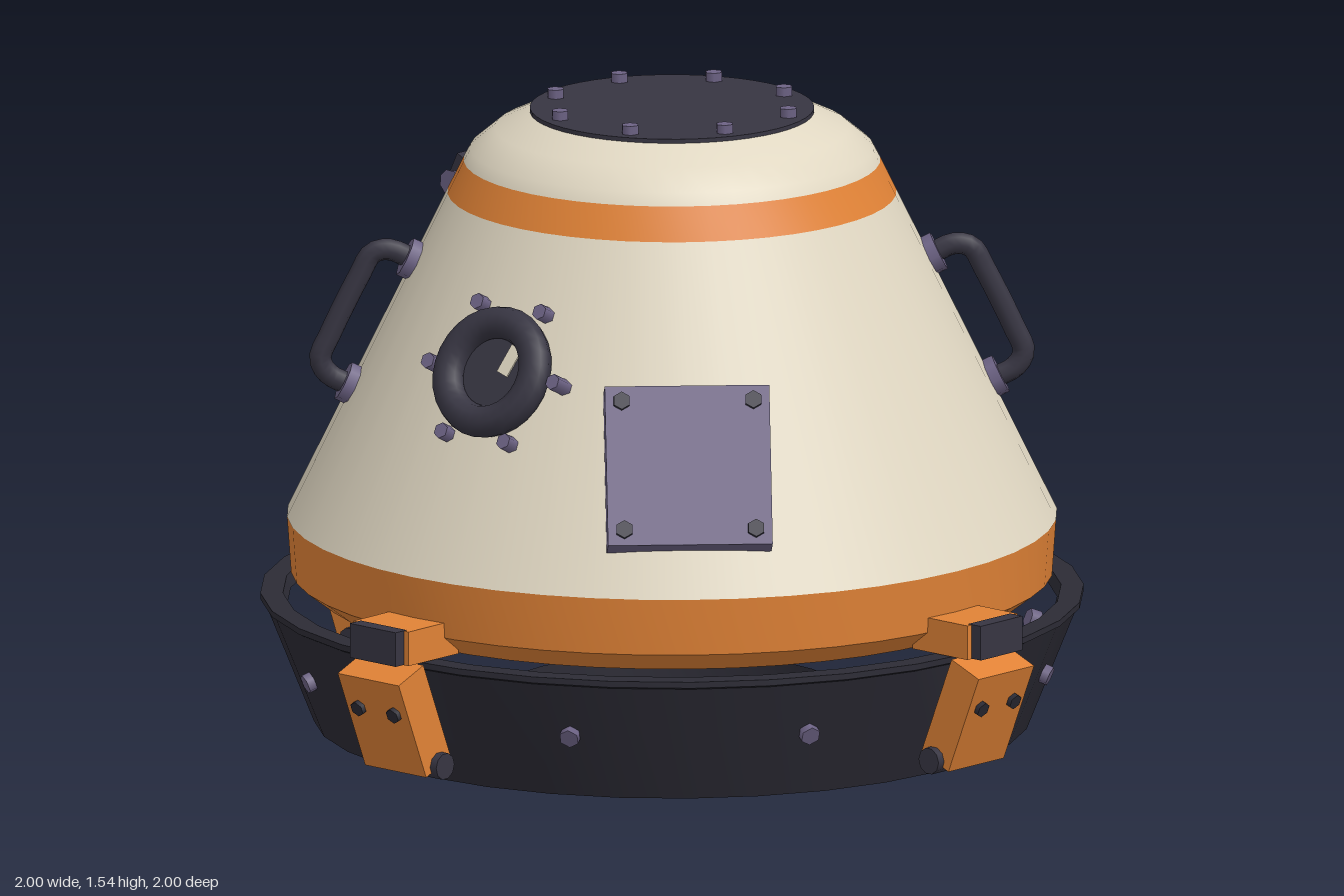
import * as THREE from 'three';
import { toCreasedNormals } from 'three/addons/utils/BufferGeometryUtils.js';

const mat = (name, color) => {
  const m = new THREE.MeshStandardMaterial({ color });
  m.name = name;
  return m;
};
const V2 = (x, y) => new THREE.Vector2(x, y);
const V3 = (x, y, z) => new THREE.Vector3(x, y, z);

// Hull cone: radius at a height, and its lean from vertical
const coneRadius = (y) => 0.935 - (y - 0.51) * 0.4875;
const LEAN = Math.atan(0.4875);

export function createModel() {
  const cream = mat('cream hull', 0xe0d7c2);
  const orange = mat('orange trim', 0xe08236);
  const dark = mat('dark metal', 0x373542);
  const black = mat('heat shield black', 0x2c2b35);
  const purple = mat('purple metal', 0x6d6385);

  const model = new THREE.Group();
  model.name = 'capsule';

  const add = (parent, name, geo, material, x = 0, y = 0, z = 0) => {
    const m = new THREE.Mesh(geo, material);
    m.name = name;
    m.position.set(x, y, z);
    parent.add(m);
    return m;
  };
  // Group standing on the body: local z points outward, local y runs up the wall
  const mount = (name, angle, r, y, lean) => {
    const g = new THREE.Group();
    g.name = name;
    g.position.set(r * Math.sin(angle), y, r * Math.cos(angle));
    g.rotation.order = 'YXZ';
    g.rotation.set(-lean, angle, 0);
    model.add(g);
    return g;
  };
  const lathe = (name, pts, material, segs) =>
    add(model, name, toCreasedNormals(new THREE.LatheGeometry(pts.map((p) => V2(...p)), segs), 0.5), material);
  const stud = (r, h, sides = 6) => new THREE.CylinderGeometry(r, r, h, sides).rotateX(Math.PI / 2);

  // Hull sections, bottom to top
  lathe('lowerBand', [[0.86, 0.32], [0.925, 0.37], [0.935, 0.51]], orange, 48);
  lathe('hullCone', [[0.935, 0.51], [0.545, 1.31]], cream, 48);
  lathe('upperBand', [[0.545, 1.31], [0.506, 1.39]], orange, 48);
  lathe('hullShoulder', [[0.506, 1.39], [0.49, 1.42], [0.43, 1.47], [0.34, 1.512]], cream, 48);

  // Top hatch with a ring of bolts
  add(model, 'topHatch', new THREE.CylinderGeometry(0.345, 0.345, 0.02, 48), dark, 0, 1.51, 0);
  for (let i = 0; i < 8; i++) {
    const a = ((i + 0.5) * Math.PI) / 4;
    add(model, 'hatchBolt', new THREE.CylinderGeometry(0.022, 0.022, 0.03, 6), purple,
      0.3 * Math.sin(a), 1.527, 0.3 * Math.cos(a));
  }

  // Heat shield ring with recessed underside and open rim
  lathe('heatShield', [[0, 0.06], [0.425, 0.06], [0.425, 0], [0.87, 0], [0.99, 0.3],
    [1.0, 0.305], [1.0, 0.32], [0.945, 0.32], [0.935, 0.29]], black, 32);
  for (let q = 0; q < 4; q++) {
    for (const d of [18, 72]) {
      const g = mount('shieldBolt', (q * Math.PI) / 2 + (d * Math.PI) / 180, 0.937, 0.165, -0.38);
      add(g, 'shieldBoltHead', stud(0.025, 0.03), purple);
    }
  }

  // Four clamps joining hull and shield
  for (let q = 0; q < 4; q++) {
    const a = Math.PI / 4 + (q * Math.PI) / 2;
    const arm = mount('clampArm', a, 1.002, 0.178, -0.384);
    add(arm, 'clampPlate', new THREE.BoxGeometry(0.2, 0.265, 0.096), orange);
    for (const s of [-1, 1]) add(arm, 'clampBolt', stud(0.02, 0.02), black, s * 0.058, 0.043, 0.05);
    const head = mount('clampHead', a, 0.96, 0.365, 0);
    add(head, 'clampBlock', new THREE.BoxGeometry(0.18, 0.085, 0.18), orange);
    add(head, 'clampLatch', new THREE.BoxGeometry(0.15, 0.085, 0.04), dark, 0, 0.001, 0.1);
    const hinge = mount('clampHinge', a, 0.95, 0.06, 0);
    add(hinge, 'hingePin', new THREE.CylinderGeometry(0.033, 0.033, 0.24, 10).rotateZ(Math.PI / 2), dark);
  }

  // Front access panel
  const panel = mount('accessPanel', 0, 0.8125, 0.808, LEAN);
  add(panel, 'panelPlate', new THREE.BoxGeometry(0.4, 0.396, 0.08), purple);
  for (const x of [-0.16, 0.16])
    for (const y of [-0.16, 0.16]) add(panel, 'panelBolt', stud(0.022, 0.02), dark, x, y, 0.044);

  // Round window with studs and a glint
  const port = mount('window', (-40 * Math.PI) / 180, coneRadius(0.985), 0.985, LEAN);
  add(port, 'windowFrame', new THREE.TorusGeometry(0.125, 0.04, 10, 28), dark, 0, 0, 0.02);
  add(port, 'windowGlass', new THREE.CylinderGeometry(0.12, 0.12, 0.02, 28).rotateX(Math.PI / 2), dark, 0, 0, 0.005);
  add(port, 'windowGlint', new THREE.BoxGeometry(0.035, 0.075, 0.004), cream, 0.04, 0.035, 0.017)
    .rotation.z = -0.3;
  for (let i = 0; i < 6; i++) {
    const a = (i * Math.PI) / 3;
    add(port, 'windowStud', stud(0.02, 0.06), purple, 0.19 * Math.cos(a), 0.19 * Math.sin(a), 0);
  }

  // Grab handles on the two sides and the back
  const grip = new THREE.CatmullRomCurve3([
    V3(0, 0.171, -0.02), V3(0, 0.171, 0.065), V3(0, 0.145, 0.1), V3(0, 0.08, 0.105),
    V3(0, -0.08, 0.105), V3(0, -0.145, 0.1), V3(0, -0.171, 0.065), V3(0, -0.171, -0.02)]);
  for (const a of [Math.PI / 2, Math.PI, -Math.PI / 2]) {
    const h = mount('handle', a, coneRadius(0.99), 0.99, LEAN);
    add(h, 'handleGrip', new THREE.TubeGeometry(grip, 32, 0.027, 8), dark);
    for (const s of [-1, 1]) add(h, 'handleFlange', stud(0.05, 0.04, 8), purple, 0, s * 0.171, 0.005);
  }

  // Rear thruster pods with a nozzle on each side
  for (const s of [-1, 1]) {
    const pod = mount('thruster', s * Math.PI * 0.75, 0.62, 1.245, LEAN);
    add(pod, 'thrusterBody', new THREE.BoxGeometry(0.14, 0.11, 0.1), dark);
    for (const k of [-1, 1]) {
      const cone = new THREE.CylinderGeometry(0.033, 0.022, 0.04, 8).rotateZ((-k * Math.PI) / 2);
      add(pod, 'thrusterNozzle', cone, purple, k * 0.088, 0, 0.012);
    }
  }
  return model;
}
